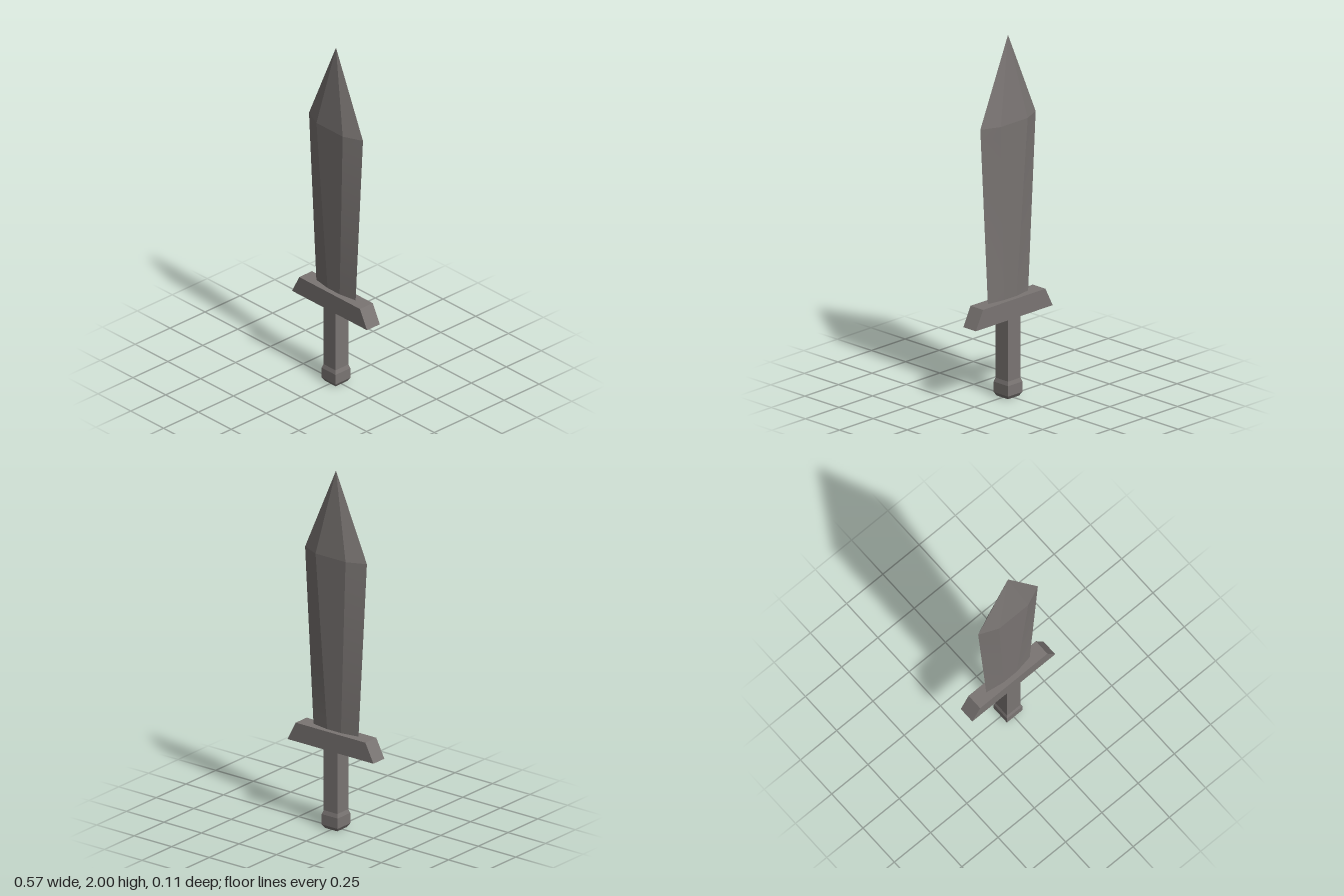
import * as THREE from 'three';
import { toCreasedNormals } from 'three/addons/utils/BufferGeometryUtils.js';

const material = new THREE.MeshStandardMaterial({ color: 0x7a7573 });

// Closed solid through a stack of rings, bottom to top; each ring runs counter-clockwise from above
function loft(name, rings) {
  const pos = [];
  const tri = (a, b, c) => {
    const area = new THREE.Triangle(
      new THREE.Vector3(...a), new THREE.Vector3(...b), new THREE.Vector3(...c)).getArea();
    if (area > 1e-9) pos.push(...a, ...b, ...c);
  };
  const n = rings[0].length;
  for (let i = 0; i < rings.length - 1; i++) {
    for (let j = 0; j < n; j++) {
      const k = (j + 1) % n;
      tri(rings[i][j], rings[i][k], rings[i + 1][k]);
      tri(rings[i][j], rings[i + 1][k], rings[i + 1][j]);
    }
  }
  const bottom = rings[0], top = rings[rings.length - 1];
  for (let j = 1; j < n - 1; j++) {
    tri(bottom[0], bottom[j + 1], bottom[j]);
    tri(top[0], top[j], top[j + 1]);
  }
  const geometry = new THREE.BufferGeometry();
  geometry.setAttribute('position', new THREE.Float32BufferAttribute(pos, 3));
  const mesh = new THREE.Mesh(toCreasedNormals(geometry, 0.1), material);
  mesh.name = name;
  return mesh;
}

// Rectangular ring with half width w and half depth d
const rect = (y, w, d) => [[w, y, d], [w, y, -d], [-w, y, -d], [-w, y, d]];

// Six-sided blade ring: sharp edges at +-w, flat faces between +-f at depth d
const bladeRing = (y, w, f, d) => [
  [w, y, 0], [f, y, -d], [-f, y, -d], [-w, y, 0], [-f, y, d], [f, y, d],
];

export function createModel() {
  const sword = new THREE.Group();
  sword.name = 'sword';

  // Blade widens upward in small steps, so its twisted bevels stay smooth, then tapers to a point
  const bladeRings = [];
  const steps = 16;
  for (let i = 0; i <= steps; i++) {
    const mix = (a, b) => THREE.MathUtils.lerp(a, b, i / steps);
    bladeRings.push(bladeRing(mix(0.545, 1.525), mix(0.15, 0.206), mix(0.046, 0.1), mix(0.017, 0.046)));
  }
  bladeRings.push(bladeRing(2, 0, 0, 0));
  sword.add(loft('blade', bladeRings));

  // Crossguard with slanted ends
  sword.add(loft('crossguard', [rect(0.44, 0.286, 0.046), rect(0.545, 0.232, 0.046)]));

  // Square grip
  sword.add(loft('grip', [rect(0.09, 0.046, 0.046), rect(0.44, 0.046, 0.046)]));

  // Chamfered pommel
  sword.add(loft('pommel', [
    rect(0, 0.041, 0.041),
    rect(0.02, 0.053, 0.053),
    rect(0.078, 0.053, 0.053),
    rect(0.1, 0.046, 0.046),
  ]));

  return sword;
}
